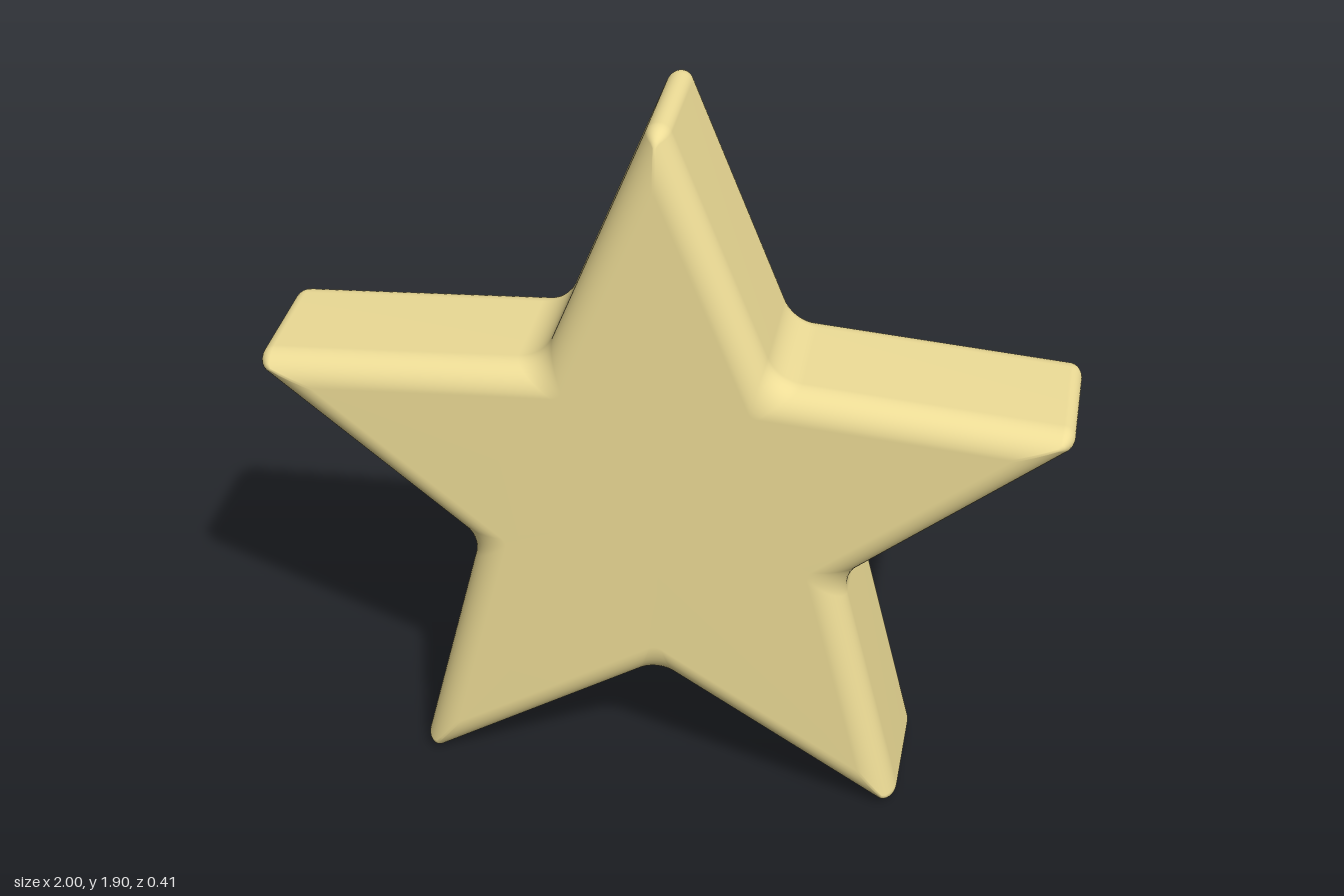
import * as THREE from 'three';

const TIP = 1.105, VALLEY = 0.486;      // radii of the sharp star corners
const CENTER_Y = 0.855, HALF_DEPTH = 0.205, BEVEL = 0.075;
const STEP = Math.PI / 5;
const TIP_HALF = Math.atan2(VALLEY * Math.sin(STEP), TIP - VALLEY * Math.cos(STEP));
const VALLEY_HALF = STEP + TIP_HALF;

// Star outline moved inwards by inset, with filleted tips and valleys
function starOutline(inset) {
  const points = [];
  const tipFillet = Math.max(0.033 - inset, 0.004);
  const valleyFillet = THREE.MathUtils.lerp(0.1, 0.03, inset / BEVEL);
  const segments = 12;
  for (let k = 0; k < 10; k++) {
    const isTip = k % 2 === 0;
    const half = isTip ? TIP_HALF : VALLEY_HALF;
    const fillet = isTip ? tipFillet : valleyFillet;
    const corner = (isTip ? TIP : VALLEY) - inset / Math.sin(half);
    const sign = isTip ? 1 : -1;
    const dist = corner - sign * fillet / Math.sin(half);
    const angle = Math.PI / 2 + k * STEP;
    const sweep = Math.PI / 2 - half;
    for (let s = 0; s <= segments; s++) {
      const phi = sign * sweep * (2 * s / segments - 1);
      const a = angle + phi;
      points.push([
        dist * Math.cos(angle) + sign * fillet * Math.cos(a),
        dist * Math.sin(angle) + sign * fillet * Math.sin(a),
      ]);
    }
  }
  return points;
}

function starGeometry() {
  // Rounded edge profile from the front face to the back face
  const levels = [];
  const steps = 10;
  for (let i = 0; i <= steps; i++) {
    const a = (Math.PI / 2) * (1 - i / steps);
    levels.push([BEVEL * (1 - Math.cos(a)), HALF_DEPTH - BEVEL + BEVEL * Math.sin(a)]);
  }
  for (let i = steps; i >= 0; i--) levels.push([levels[i][0], -levels[i][1]]);

  const positions = [], indices = [];
  let n = 0;
  for (const [inset, z] of levels) {
    const ring = starOutline(inset);
    n = ring.length;
    for (const [x, y] of ring) positions.push(x, y, z);
  }
  for (let i = 0; i < levels.length - 1; i++) {
    for (let j = 0; j < n; j++) {
      const a = i * n + j, b = i * n + (j + 1) % n;
      indices.push(a, a + n, b + n, a, b + n, b);
    }
  }

  // Flat front and back faces
  const front = positions.length / 3, back = front + 1;
  positions.push(0, 0, HALF_DEPTH, 0, 0, -HALF_DEPTH);
  const last = (levels.length - 1) * n;
  for (let j = 0; j < n; j++) {
    const next = (j + 1) % n;
    indices.push(front, j, next, back, last + next, last + j);
  }

  const geometry = new THREE.BufferGeometry();
  geometry.setAttribute('position', new THREE.Float32BufferAttribute(positions, 3));
  geometry.setIndex(indices);
  geometry.computeVertexNormals();
  return geometry;
}

export function createModel() {
  const group = new THREE.Group();
  group.name = 'star';
  const body = new THREE.Mesh(starGeometry(), new THREE.MeshStandardMaterial({ color: 0xeddc96 }));
  body.name = 'starBody';
  body.position.y = CENTER_Y;
  group.add(body);
  return group;
}
